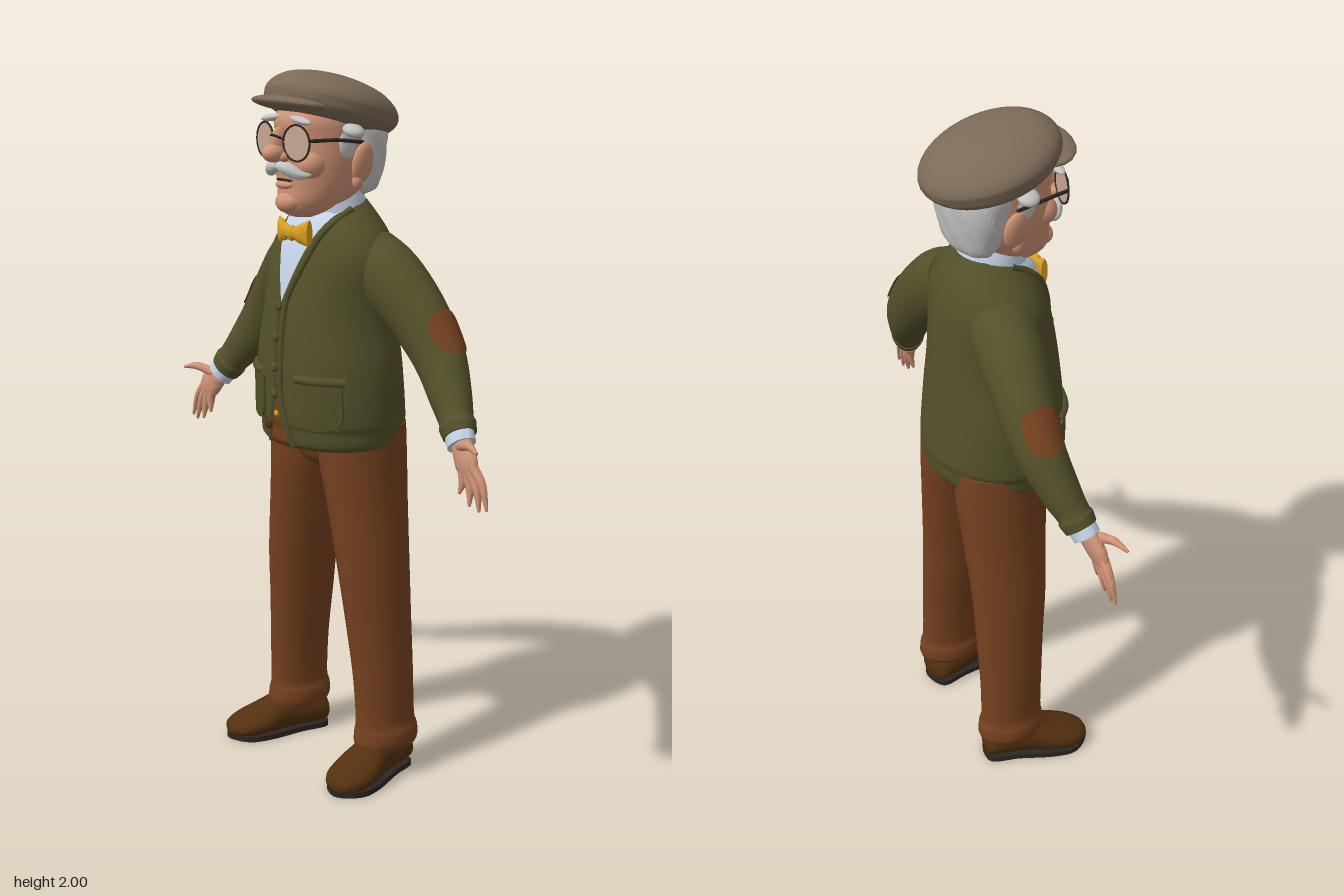
import * as THREE from 'three';
import { mergeVertices, toCreasedNormals } from 'three/addons/utils/BufferGeometryUtils.js';

const mat = (name, color, side = THREE.FrontSide) => {
  const m = new THREE.MeshStandardMaterial({ color, side });
  m.name = name;
  return m;
};
const V3 = (x, y, z) => new THREE.Vector3(x, y, z);
const Y = V3(0, 1, 0), Z = V3(0, 0, 1);

// Smoothly interpolated row at fractional index t
function at(rows, t) {
  const i = Math.min(Math.floor(t), rows.length - 2), f = t - i;
  const r = k => rows[Math.max(0, Math.min(rows.length - 1, k))];
  return rows[i].map((b, k) => {
    const c = r(i + 1)[k], m0 = (c - r(i - 1)[k]) / 2, m1 = (r(i + 2)[k] - b) / 2;
    return b + f * m0 + f * f * (3 * (c - b) - 2 * m0 - m1) + f * f * f * (2 * (b - c) + m0 + m1);
  });
}
const smooth = (rows, n = 4) =>
  Array.from({ length: (rows.length - 1) * n + 1 }, (_, i) => at(rows, i / n));
// [y, halfWidth, zFront, zBack] to an upright ring
const up = rows => rows.map(([y, w, f, b]) => [0, y, (f + b) / 2, w, (f - b) / 2]);

// Skin over elliptical rings [x, y, z, rU, rV, halfAngle]
function loft(rows, { axis = null, ref = Z, n = 24, mid = 0, caps = true, crease = 0.9, ripple = 0 } = {}) {
  const pos = [], idx = [], c = rows.map(r => V3(r[0], r[1], r[2]));
  rows.forEach((r, i) => {
    const T = axis ? axis.clone().normalize()
      : c[Math.min(i + 1, c.length - 1)].clone().sub(c[Math.max(i - 1, 0)]).normalize();
    const V = ref.clone().addScaledVector(T, -ref.dot(T)).normalize(), U = T.clone().cross(V);
    const h = r[5] ?? Math.PI;
    for (let j = 0; j <= n; j++) {
      const a = mid - h + 2 * h * j / n, k = 1 + ripple * Math.sin(a * 9 + i * 0.8);
      const p = c[i].clone().addScaledVector(U, k * r[3] * Math.sin(a)).addScaledVector(V, k * r[4] * Math.cos(a));
      pos.push(p.x, p.y, p.z);
      if (i && j) {
        const d = i * (n + 1) + j, b = d - n - 1;
        idx.push(b - 1, b, d, b - 1, d, d - 1);
      }
    }
  });
  if (caps) [0, rows.length - 1].forEach((e, k) => {
    const m = pos.length / 3;
    pos.push(c[e].x, c[e].y, c[e].z);
    for (let j = 0; j < n; j++) {
      const a = e * (n + 1) + j;
      k ? idx.push(a, a + 1, m) : idx.push(a + 1, a, m);
    }
  });
  const g = new THREE.BufferGeometry();
  g.setAttribute('position', new THREE.Float32BufferAttribute(pos, 3));
  g.setIndex(idx);
  return toCreasedNormals(mergeVertices(g, 1e-5), crease);
}

export function createModel() {
  const root = new THREE.Group();
  root.name = 'oldGentleman';
  const D = THREE.DoubleSide;
  const olive = mat('oliveWool', 0x53502a, D), brown = mat('rustBrown', 0x75411f, D);
  const skin = mat('skin', 0xcf9375), felt = mat('capFelt', 0x7c6a57);
  const shirt = mat('shirtBlue', 0xc3d3e6, D), yellow = mat('bowYellow', 0xd9a021);
  const hair = mat('greyHair', 0xc4c4c2), leather = mat('shoeLeather', 0x54300f);
  const dark = mat('darkTrim', 0x2b2622), glass = mat('lensGlass', 0xc8a793, D);
  const add = (name, geo, m, parent = root) => {
    const o = new THREE.Mesh(geo, m);
    o.name = name;
    parent.add(o);
    return o;
  };
  const ball = (name, m, p, s, rz = 0, parent = root) => {
    const o = add(name, new THREE.SphereGeometry(1, 20, 14), m, parent);
    o.position.set(...p); o.scale.set(...s); o.rotation.z = rz;
    return o;
  };
  const tube = (name, pts, r, m) =>
    add(name, new THREE.TubeGeometry(new THREE.CatmullRomCurve3(pts), 28, r, 8), m);

  // Cardigan body
  const body = smooth(up([
    [0.97, 0.205, 0.145, -0.185], [0.985, 0.222, 0.163, -0.2], [1.03, 0.228, 0.166, -0.203],
    [1.05, 0.238, 0.172, -0.206], [1.2, 0.235, 0.172, -0.192], [1.3, 0.215, 0.165, -0.185],
    [1.4, 0.205, 0.15, -0.18], [1.5, 0.21, 0.125, -0.172], [1.56, 0.182, 0.102, -0.158],
    [1.61, 0.132, 0.07, -0.138], [1.65, 0.085, 0.03, -0.115]]));
  add('cardiganBody', loft(body, { axis: Y, n: 40 }), olive);
  const frontZ = (x, y) => {
    let i = 0;
    while (i < body.length - 2 && body[i + 1][1] < y) i++;
    const a = body[i], b = body[i + 1], f = THREE.MathUtils.clamp((y - a[1]) / (b[1] - a[1]), 0, 1);
    const [, , cz, rx, rz] = a.map((v, k) => v + (b[k] - v) * f);
    return cz + rz * Math.sqrt(Math.max(0, 1 - (x / rx) ** 2));
  };
  const onFront = (x, y, off) => V3(x, y, frontZ(x, y) + off);
  // Plate lying on the chest between two edge functions of height
  const plate = (name, y0, y1, xl, xr, off, m) => {
    const g = new THREE.PlaneGeometry(1, 1, 12, 14), p = g.attributes.position;
    for (let i = 0; i < p.count; i++) {
      const t = p.getY(i) + 0.5, u = p.getX(i) + 0.5, y = y0 + (y1 - y0) * t;
      const x = xl(t) + (xr(t) - xl(t)) * u;
      p.setXYZ(i, x, y, frontZ(x, y) + off);
    }
    g.computeVertexNormals();
    return add(name, g, m);
  };
  plate('shirtFront', 1.38, 1.63, t => -0.092 * t, t => 0.092 * t, 0.006, shirt);
  plate('frontOpening', 0.972, 1.115, t => -0.042 * (1 - t), t => 0.042 * (1 - t), 0.007, brown);
  ball('beltBuckle', yellow, [0, 1.068, frontZ(0, 1.068) + 0.007], [0.01, 0.008, 0.004]);
  for (const y of [1.37, 1.285, 1.2, 1.125, 1.03]) {
    const x = y < 1.05 ? -0.038 : 0;
    ball('button', y < 1.05 ? leather : olive, [x, y, frontZ(x, y) + 0.014], [0.014, 0.014, 0.008]);
  }

  // Trouser seat
  add('trouserSeat', loft(smooth([[0, 0.885, -0.045, 0.02, 0.05], [0, 0.905, -0.045, 0.07, 0.098],
    [0, 0.945, -0.045, 0.15, 0.124], [0, 1.02, -0.04, 0.2, 0.135]]), { axis: Y }), brown);

  // Neck, collar and bow tie
  add('neck', new THREE.CylinderGeometry(0.07, 0.078, 0.14, 24), skin).position.set(0, 1.64, -0.01);
  add('shirtCollar', loft([[0, 1.59, -0.02, 0.104, 0.1], [0, 1.63, -0.014, 0.1, 0.1],
    [0, 1.662, -0.008, 0.092, 0.092]], { axis: V3(0, 0.92, 0.38), caps: false }), shirt);
  ball('bowKnot', yellow, [0, 1.567, 0.122], [0.018, 0.022, 0.015]);

  // Cap, tilted back
  const cap = new THREE.Group();
  cap.name = 'flatCap';
  cap.position.set(0, 1.9, -0.008);
  cap.rotation.x = -0.28;
  root.add(cap);
  add('capCrown', loft(smooth(up([[-0.045, 0.13, 0.13, -0.14], [-0.032, 0.158, 0.165, -0.18],
    [0, 0.177, 0.187, -0.203], [0.035, 0.166, 0.178, -0.19], [0.066, 0.125, 0.14, -0.145],
    [0.084, 0.065, 0.075, -0.075], [0.089, 0.01, 0.01, -0.01]])), { axis: Y, n: 36 }), felt, cap);
  ball('capBrim', felt, [0, -0.022, 0.134], [0.138, 0.021, 0.08], 0, cap).rotation.x = 0.1;

  // Head and face
  add('head', loft(smooth(up([[1.61, 0.03, 0.11, 0], [1.62, 0.055, 0.135, -0.03], [1.65, 0.085, 0.15, -0.07],
    [1.7, 0.108, 0.148, -0.11], [1.76, 0.121, 0.152, -0.13], [1.82, 0.126, 0.146, -0.13],
    [1.88, 0.128, 0.15, -0.14], [1.93, 0.1, 0.1, -0.1]])), { axis: Y, n: 32 }), skin);
  ball('chin', skin, [0, 1.652, 0.132], [0.042, 0.03, 0.034]);
  ball('noseTip', skin, [0, 1.787, 0.182], [0.028, 0.025, 0.034]);
  ball('noseBridge', skin, [0, 1.812, 0.162], [0.018, 0.045, 0.03]);
  ball('lowerLip', skin, [0, 1.7, 0.148], [0.034, 0.011, 0.014]);
  ball('mouth', dark, [0, 1.713, 0.146], [0.036, 0.004, 0.008]);
  add('backHair', loft(smooth(up([[1.665, 0.075, -0.03, -0.105], [1.685, 0.105, -0.02, -0.135],
    [1.73, 0.122, 0, -0.15], [1.79, 0.135, 0.015, -0.16], [1.84, 0.138, 0.035, -0.163],
    [1.88, 0.13, 0.05, -0.155]])), { axis: Y, n: 54, ripple: 0.02, crease: 0.4 }), hair);
  tube('glassesBridge', [V3(-0.024, 1.825, 0.165), V3(0, 1.836, 0.188), V3(0.024, 1.825, 0.165)], 0.0035, dark);

  // Paired parts, s = 1 is the model's left
  for (const s of [1, -1]) {
    const side = s > 0 ? 'left' : 'right';
    // Face
    ball(side + 'Cheek', skin, [s * 0.06, 1.757, 0.1], [0.044, 0.042, 0.045]);
    ball(side + 'Nostril', skin, [s * 0.022, 1.778, 0.163], [0.015, 0.014, 0.017]);
    ball(side + 'Ear', skin, [s * 0.138, 1.76, -0.014], [0.018, 0.058, 0.034], -s * 0.22);
    ball(side + 'EarLobe', skin, [s * 0.13, 1.71, -0.004], [0.013, 0.022, 0.017]);
    ball(side + 'Eyebrow', hair, [s * 0.065, 1.876, 0.14], [0.043, 0.01, 0.016], -s * 0.15);
    ball(side + 'HairTuft', hair, [s * 0.14, 1.848, 0.02], [0.032, 0.017, 0.03], -s * 0.35);
    ball(side + 'Sideburn', hair, [s * 0.119, 1.815, 0.022], [0.011, 0.045, 0.03]);
    add(side + 'Moustache', loft(smooth([[0, 1.752, 0.164, 0.013, 0.016], [s * 0.035, 1.746, 0.16, 0.018, 0.018],
      [s * 0.066, 1.731, 0.141, 0.013, 0.014], [s * 0.088, 1.735, 0.118, 0.003, 0.003]]), { n: 14 }), hair);
    const eye = new THREE.Group();
    eye.name = side + 'Eyeglass';
    eye.position.set(s * 0.069, 1.817, 0.158);
    eye.rotation.y = s * 0.15;
    root.add(eye);
    add('rim', new THREE.TorusGeometry(0.048, 0.0028, 8, 32), dark, eye);
    add('lens', new THREE.CircleGeometry(0.048, 32), glass, eye);
    tube(side + 'Temple', [V3(s * 0.116, 1.825, 0.15), V3(s * 0.134, 1.825, 0.07), V3(s * 0.14, 1.815, -0.015)], 0.005, dark);

    // Collar wing, bow loop, cardigan edge and pocket
    const lo = t => 0.03 + 0.01 * t, hi = t => 0.038 + 0.046 * t;
    plate(side + 'CollarWing', 1.535, 1.625, t => s > 0 ? lo(t) : -hi(t), t => s > 0 ? hi(t) : -lo(t), 0.016, shirt);
    add(side + 'BowLoop', loft(smooth([[s * 0.008, 1.567, 0.12, 0.014, 0.011], [s * 0.035, 1.568, 0.12, 0.027, 0.014],
      [s * 0.066, 1.57, 0.112, 0.037, 0.01]]), { axis: V3(s, 0, 0), n: 16 }), yellow);
    tube(side + 'CardiganEdge', [[0.1, 1.632], [0.083, 1.57], [0.055, 1.49], [0.016, 1.39], [0.011, 1.33],
      [0.011, 1.2], [0.013, 1.12], [0.03, 1.05], [0.05, 0.98]].map(([x, y]) => onFront(s * x, y, 0)), 0.011, olive);
    const xa = s > 0 ? 0.075 : -0.19, xb = s > 0 ? 0.19 : -0.075;
    plate(side + 'Pocket', 1.04, 1.17, () => xa, () => xb, 0.009, olive);
    tube(side + 'PocketWelt', [0.07, 0.11, 0.15, 0.198].map(x => onFront(s * x, 1.175, 0.002)), 0.013, olive);
    tube(side + 'PocketHem', [[0.075, 1.16], [0.078, 1.06], [0.095, 1.042], [0.165, 1.042], [0.188, 1.06], [0.19, 1.16]]
      .map(([x, y]) => onFront(s * x, y, 0.003)), 0.006, olive);

    // Sleeve with elbow patch and ribbed end
    const arm = [[0.12, 1.5, -0.055, 0.085, 0.09], [0.2, 1.447, -0.062, 0.098, 0.092], [0.295, 1.365, -0.075, 0.09, 0.08],
      [0.385, 1.262, -0.078, 0.078, 0.068], [0.46, 1.165, -0.055, 0.062, 0.055], [0.505, 1.11, -0.036, 0.05, 0.045],
      [0.512, 1.101, -0.033, 0.054, 0.049], [0.53, 1.078, -0.026, 0.049, 0.044]].map(r => [s * r[0], ...r.slice(1)]);
    add(side + 'Sleeve', loft(smooth(arm)), olive);
    const patch = [];
    for (let i = 0; i <= 14; i++) {
      const u = i / 7 - 1, [x, y, z, a, b] = at(arm, 2.8 + 0.47 * u);
      patch.push([x, y, z, a + 0.005, b + 0.005, 0.02 + 0.78 * Math.pow(1 - Math.abs(u) ** 3, 0.5)]);
    }
    add(side + 'ElbowPatch', loft(patch, { mid: -s * Math.PI / 2, caps: false, n: 12 }), brown);
    add(side + 'ShirtCuff', loft([[s * 0.515, 1.097, -0.03, 0.044, 0.039], [s * 0.547, 1.057, -0.017, 0.044, 0.036]]), shirt);

    // Hand
    add(side + 'Palm', loft(smooth([[s * 0.53, 1.08, -0.022, 0.03, 0.024], [s * 0.557, 1.05, -0.012, 0.038, 0.023],
      [s * 0.582, 1.018, -0.003, 0.042, 0.019], [s * 0.602, 0.992, 0, 0.032, 0.012]]), { n: 16 }), skin);
    const fingers = [
      ['Thumb', [0.56, 1.06, 0], [0.615, 1.075, 0.022], [0.662, 1.066, 0.038]],
      ['IndexFinger', [0.607, 1.015, 0], [0.645, 0.972, 0], [0.668, 0.908, 0.004]],
      ['MiddleFinger', [0.6, 1, 0], [0.628, 0.955, 0.002], [0.642, 0.9, 0.006]],
      ['RingFinger', [0.588, 0.995, 0], [0.602, 0.952, 0.002], [0.606, 0.908, 0.008]],
      ['LittleFinger', [0.572, 0.995, 0], [0.574, 0.965, 0.002], [0.567, 0.934, 0.008]]];
    for (const [f, ...pts] of fingers)
      add(side + f, loft(smooth(pts.map(([x, y, z], i) => [s * x, y, z, [0.015, 0.012, 0.004][i], [0.014, 0.011, 0.004][i]])), { n: 10 }), skin);

    // Trouser leg with turn-up
    add(side + 'TrouserLeg', loft(smooth([[0.205, 0.085, -0.055, 0.068, 0.098], [0.205, 0.105, -0.057, 0.077, 0.103],
      [0.204, 0.14, -0.057, 0.075, 0.1], [0.203, 0.17, -0.055, 0.067, 0.095], [0.196, 0.3, -0.052, 0.07, 0.097],
      [0.18, 0.45, -0.048, 0.077, 0.104], [0.164, 0.6, -0.043, 0.084, 0.113], [0.133, 0.8, -0.043, 0.096, 0.126],
      [0.113, 0.92, -0.043, 0.11, 0.134], [0.11, 1.03, -0.04, 0.108, 0.135]].map(r => [s * r[0], ...r.slice(1)])),
    { axis: Y, crease: 1.4 }), brown);

    // Shoe, toes turned out
    const shoe = new THREE.Group();
    shoe.name = side + 'Shoe';
    shoe.position.set(s * 0.205, 0, -0.04);
    shoe.rotation.y = s * 0.25;
    root.add(shoe);
    const upper = loft(smooth([[0, 0.05, -0.1, 0.03, 0.03], [0, 0.055, -0.085, 0.055, 0.045], [0, 0.062, -0.02, 0.058, 0.058],
      [0, 0.06, 0.05, 0.06, 0.06], [0, 0.046, 0.11, 0.072, 0.047], [0, 0.036, 0.17, 0.067, 0.034],
      [0, 0.03, 0.21, 0.042, 0.022], [0, 0.028, 0.222, 0.01, 0.008]]), { axis: Z, ref: Y });
    const p = upper.attributes.position;
    for (let i = 0; i < p.count; i++) p.setY(i, Math.max(p.getY(i), 0.012));
    add('upper', upper, leather, shoe);
    const outline = new THREE.Shape();
    outline.moveTo(0, -0.102);
    outline.splineThru([[0.048, -0.084], [0.055, 0], [0.072, 0.11], [0.062, 0.18], [0, 0.222], [-0.062, 0.18],
      [-0.072, 0.11], [-0.055, 0], [-0.048, -0.084], [0, -0.102]].map(q => new THREE.Vector2(...q)));
    const sole = new THREE.ExtrudeGeometry(outline, { depth: 0.016, bevelEnabled: false, curveSegments: 40 });
    sole.rotateX(Math.PI / 2).translate(0, 0.016, 0);
    add('sole', sole, dark, shoe);
  }
  return root;
}
